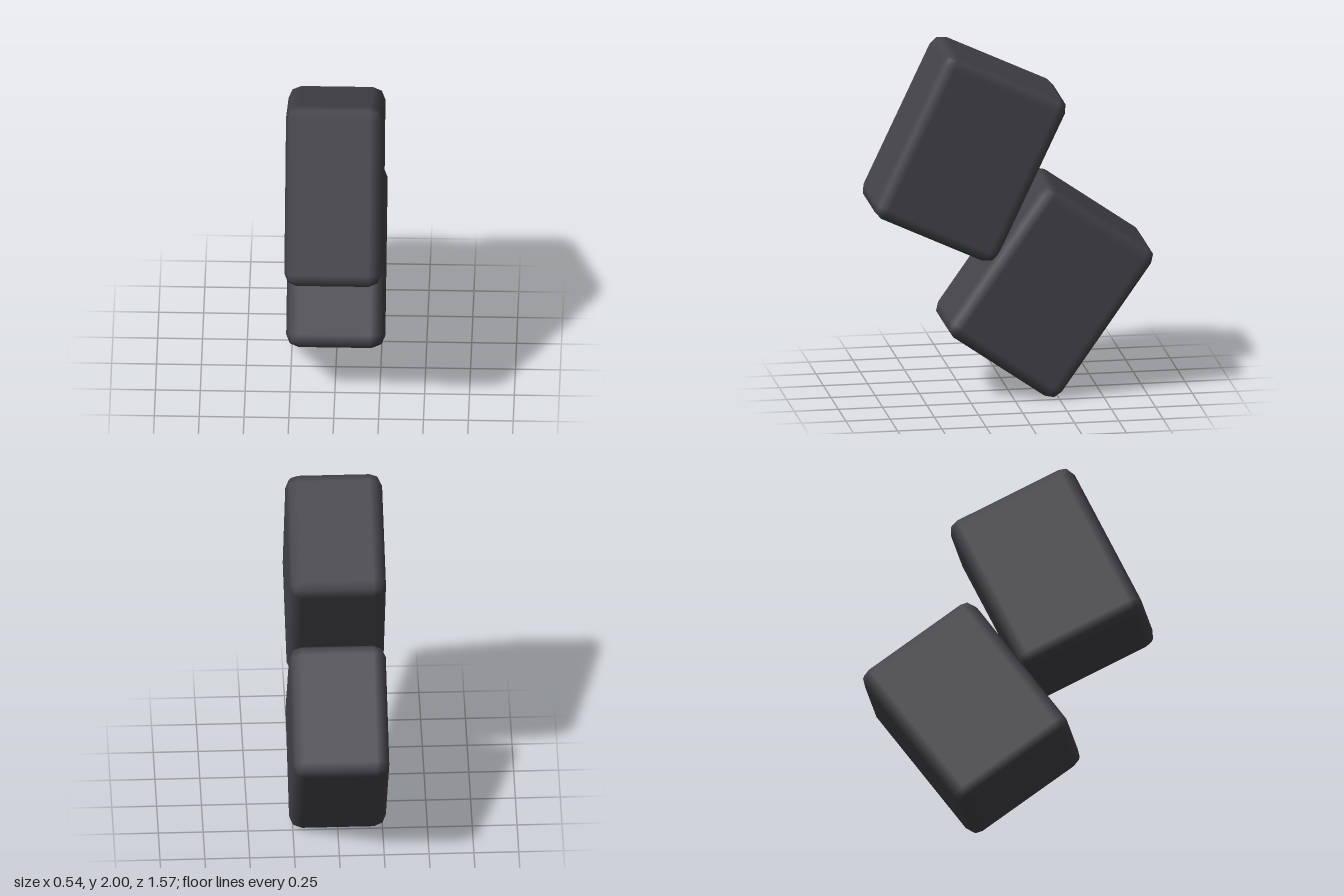
import * as THREE from 'three';
import { RoundedBoxGeometry } from 'three/addons/geometries/RoundedBoxGeometry.js';

export function createModel() {
  const model = new THREE.Group();
  model.name = 'leaningBlocks';

  const charcoal = new THREE.MeshStandardMaterial({ color: 0x444349 });
  charcoal.name = 'charcoal';

  // Both blocks share one softly bevelled box
  const block = new RoundedBoxGeometry(0.54, 1.02, 0.77, 1, 0.07);

  function addBlock(name, y, z, leanBack) {
    const mesh = new THREE.Mesh(block, charcoal);
    mesh.name = name;
    mesh.position.set(0, y, z);
    mesh.rotation.x = -THREE.MathUtils.degToRad(leanBack);
    model.add(mesh);
  }

  addBlock('upperBlock', 1.403, 0.247, 25.2);
  addBlock('lowerBlock', 0.61, -0.207, 35);

  return model;
}
